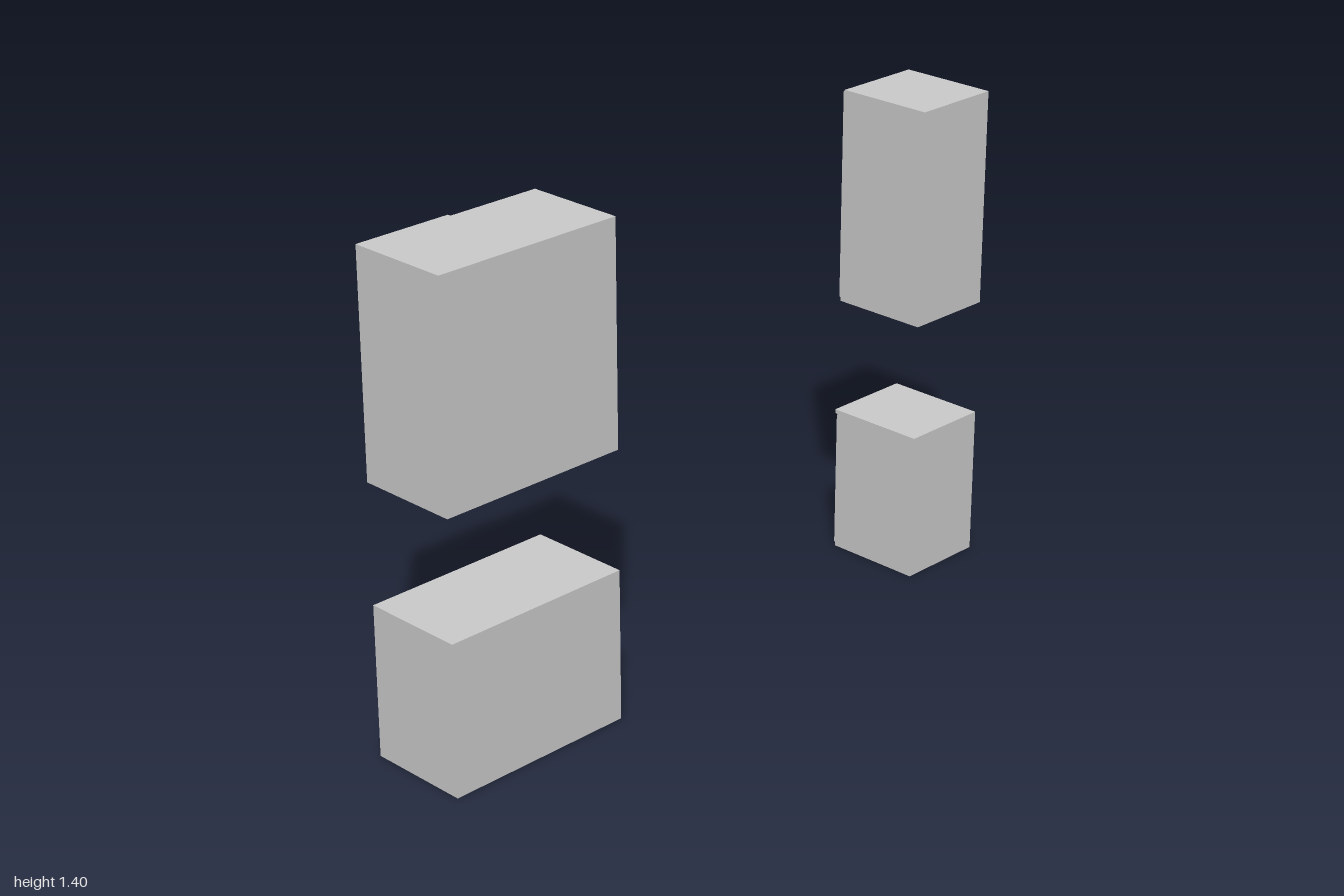
import * as THREE from 'three';

const mat = new THREE.MeshStandardMaterial({ color: 0xcccccc, flatShading: true });
const smooth = new THREE.MeshStandardMaterial({ color: 0xcccccc });
const BACK = 0.15, FACE = -0.14, FRONT = -0.15, T = 0.012;

// Box given by its extents on each axis
function box(parent, name, x0, x1, y0, y1, z0, z1) {
  const mesh = new THREE.Mesh(new THREE.BoxGeometry(x1 - x0, y1 - y0, z1 - z0), mat);
  mesh.position.set((x0 + x1) / 2, (y0 + y1) / 2, (z0 + z1) / 2);
  mesh.name = name;
  parent.add(mesh);
}

// Rectangular ring in the z-y plane, running from x0 to x1
function ring(parent, name, x0, x1, outer, inner) {
  const rect = (target, [y0, y1, z0, z1]) => target
    .moveTo(z0, y0).lineTo(z1, y0).lineTo(z1, y1).lineTo(z0, y1).closePath();
  const shape = new THREE.Shape();
  rect(shape, outer);
  const hole = new THREE.Path();
  rect(hole, inner);
  shape.holes.push(hole);
  const geo = new THREE.ExtrudeGeometry(shape, { depth: x1 - x0, bevelEnabled: false });
  geo.rotateY(-Math.PI / 2);
  geo.translate(x1, 0, 0);
  const mesh = new THREE.Mesh(geo, mat);
  mesh.name = name;
  parent.add(mesh);
}

// Hollow carcass with a face frame around the opening
function carcass(name, y0, y1, z0, z1, opening) {
  const g = new THREE.Group();
  g.name = name;
  const x0 = FACE + T;
  box(g, 'sideNear', x0, BACK, y0, y1, z0, z0 + T);
  box(g, 'sideFar', x0, BACK, y0, y1, z1 - T, z1);
  box(g, 'backPanel', BACK - T, BACK, y0, y1, z0 + T, z1 - T);
  box(g, 'topPanel', x0, BACK - T, y1 - T, y1, z0 + T, z1 - T);
  box(g, 'floorPanel', x0, BACK - T, y0, y0 + 0.025, z0 + T, z1 - T);
  ring(g, 'faceFrame', FACE, x0, [y0, y1, z0, z1], opening);
  return g;
}

// Framed door with a recessed centre panel and a turned knob
function door(parent, y0, y1, z0, z1, knobY) {
  const g = new THREE.Group();
  g.name = 'door';
  const w = 0.035;
  ring(g, 'doorFrame', FRONT, FACE, [y0, y1, z0, z1], [y0 + w, y1 - w, z0 + w, z1 - w]);
  box(g, 'doorPanel', FACE - 0.004, FACE, y0 + w, y1 - w, z0 + w, z1 - w);
  const b = w + 0.012;
  ring(g, 'panelMoulding', FACE - 0.007, FACE - 0.004,
    [y0 + w, y1 - w, z0 + w, z1 - w], [y0 + b, y1 - b, z0 + b, z1 - b]);
  const profile = [[0.003, 0], [0.002, 0.002], [0.005, 0.004], [0.005, 0.006], [0, 0.007]]
    .map(([r, h]) => new THREE.Vector2(r, h));
  const knob = new THREE.Mesh(new THREE.LatheGeometry(profile, 16), smooth);
  knob.rotation.z = Math.PI / 2;
  knob.position.set(FRONT, knobY, z1 - 0.017);
  knob.name = 'knob';
  g.add(knob);
  parent.add(g);
}

export function createModel() {
  const root = new THREE.Group();
  root.name = 'cabinets';
  const rows = [
    { name: 'upper', y0: 0.775, y1: 1.4, knobY: 0.91, lip: false },
    { name: 'lower', y0: 0, y1: 0.435, knobY: 0.247, lip: true },
  ];
  for (const { name, y0, y1, knobY, lip } of rows) {
    const faceTop = lip ? y1 - 0.012 : y1;

    // Narrow cabinet with a door
    const narrow = carcass(name + 'NarrowCabinet', y0, y1, -1, -0.73,
      [y0 + 0.03, y1 - 0.025, -0.98, -0.75]);
    door(narrow, y0 + 0.008, faceTop - 0.008, -0.993, -0.737, knobY);

    // Wide corner cabinet, open on one half and closed on the other
    const wide = carcass(name + 'CornerCabinet', y0, y1, 0.43, 1,
      [y0 + 0.03, y1 - 0.02, 0.442, 0.685]);
    box(wide, 'blindPanel', FRONT, FACE, y0, faceTop, 0.71, 1);
    box(wide, 'stileTrim', FACE - 0.004, FACE, y0 + 0.01, faceTop - 0.01, 0.695, 0.71);

    // Thin lip over the faces of the lower row
    if (lip) {
      box(narrow, 'topLip', FRONT, FACE, faceTop, y1, -1, -0.73);
      box(wide, 'topLip', FRONT, FACE, faceTop, y1, 0.43, 1);
    }
    root.add(narrow, wide);
  }
  return root;
}
